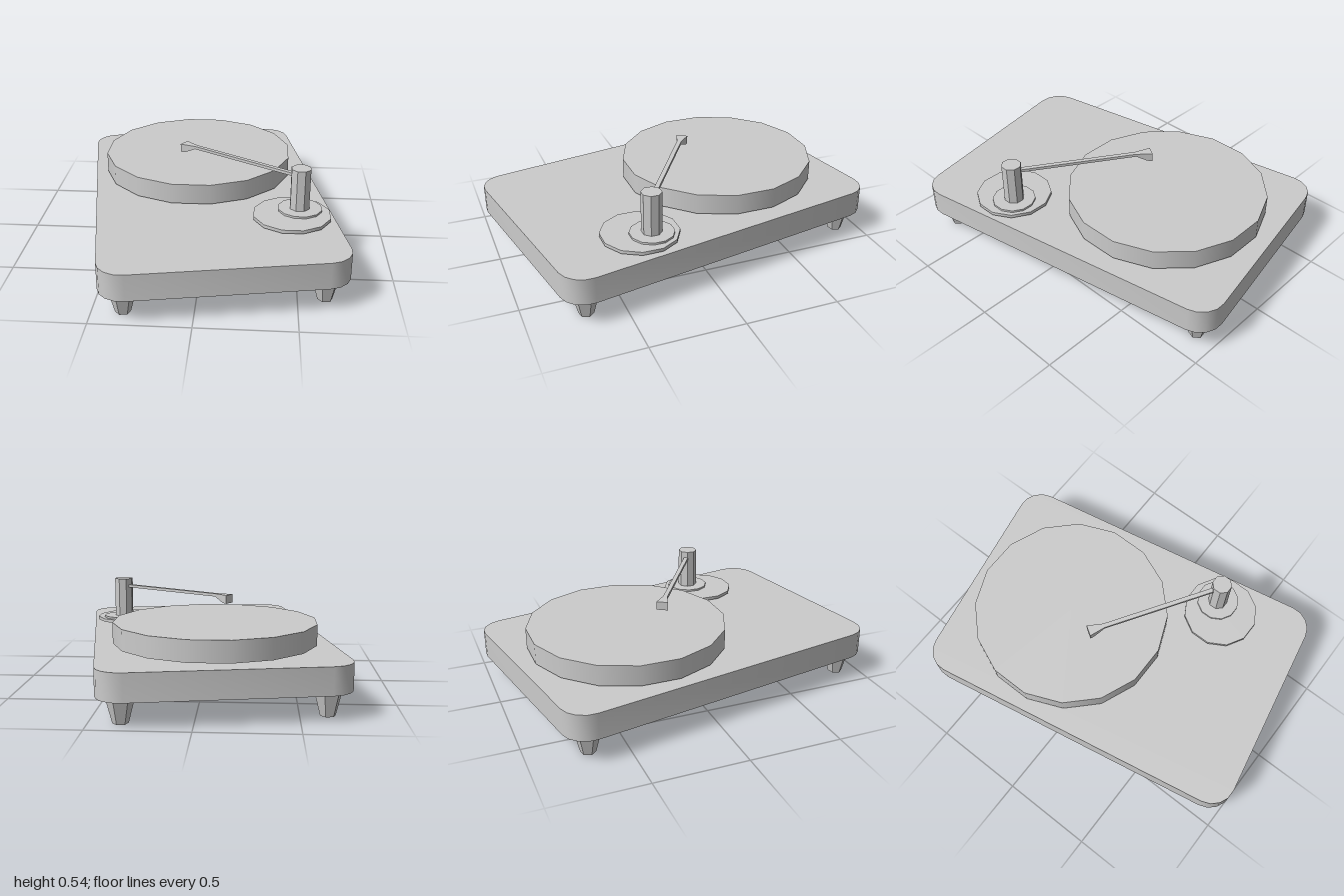
import * as THREE from 'three';
import { toCreasedNormals } from 'three/addons/utils/BufferGeometryUtils.js';

const smooth = new THREE.MeshStandardMaterial({ color: 0xcccccc, side: THREE.DoubleSide });
const faceted = new THREE.MeshStandardMaterial({ color: 0xcccccc, side: THREE.DoubleSide, flatShading: true });

function addMesh(parent, name, geometry, material = smooth) {
  const mesh = new THREE.Mesh(geometry, material);
  mesh.name = name;
  parent.add(mesh);
  return mesh;
}

// Trace a rectangle with rounded corners, given half sizes
function roundedRect(path, w, d, r) {
  path.absarc(w - r, d - r, r, 0, Math.PI / 2);
  path.absarc(r - w, d - r, r, Math.PI / 2, Math.PI);
  path.absarc(r - w, r - d, r, Math.PI, Math.PI * 1.5);
  path.absarc(w - r, r - d, r, Math.PI * 1.5, Math.PI * 2);
  path.closePath();
  return path;
}

// Extrude a flat outline upwards from y0 to y1
function slab(shape, y0, y1) {
  const g = new THREE.ExtrudeGeometry(shape, { depth: y1 - y0, bevelEnabled: false, curveSegments: 2 });
  g.rotateX(-Math.PI / 2).translate(0, y0, 0);
  return toCreasedNormals(g, 1);
}

// Upright disc, turned by half a side so that flats face the axes
function disc(parent, name, x, z, radius, y0, y1, sides, material) {
  const g = new THREE.CylinderGeometry(radius, radius, y1 - y0, sides, 1, false, Math.PI / sides);
  const mesh = addMesh(parent, name, g, material);
  mesh.position.set(x, (y0 + y1) / 2, z);
}

// Bar along +x from rectangular sections: [distance, half width, bottom, top]
function bar(sections) {
  const pos = [], index = [];
  for (const [x, w, b, t] of sections) pos.push(x, b, -w, x, b, w, x, t, w, x, t, -w);
  for (let s = 0; s < sections.length - 1; s++) {
    for (let k = 0; k < 4; k++) {
      const a = s * 4 + k, b = s * 4 + (k + 1) % 4;
      index.push(a, a + 4, b, b, a + 4, b + 4);
    }
  }
  const e = (sections.length - 1) * 4;
  index.push(0, 1, 2, 0, 2, 3, e, e + 2, e + 1, e, e + 3, e + 2);
  const g = new THREE.BufferGeometry();
  g.setAttribute('position', new THREE.Float32BufferAttribute(pos, 3));
  g.setIndex(index);
  return toCreasedNormals(g, 0.3);
}

export function createModel() {
  const model = new THREE.Group();
  model.name = 'recordPlayer';

  // Plinth: a shell open underneath, turned a little
  const plinth = new THREE.Group();
  plinth.name = 'plinth';
  plinth.rotation.y = THREE.MathUtils.degToRad(10.5);
  model.add(plinth);
  const wall = roundedRect(new THREE.Shape(), 0.62, 0.927, 0.13);
  wall.holes.push(roundedRect(new THREE.Path(), 0.617, 0.924, 0.127));
  addMesh(plinth, 'plinthWalls', slab(wall, 0.13, 0.272));
  addMesh(plinth, 'plinthTop', slab(roundedRect(new THREE.Shape(), 0.62, 0.927, 0.13), 0.269, 0.272));

  // Tapered hollow feet
  const footGeometry = new THREE.CylinderGeometry(0.072, 0.039, 0.13, 6, 1, true, Math.PI / 6);
  for (const x of [-0.5, 0.5]) {
    for (const z of [-0.8, 0.8]) {
      addMesh(plinth, 'foot', footGeometry, faceted).position.set(x, 0.065, z);
    }
  }

  // Platter, just clear of the plinth
  disc(model, 'platter', -0.07, -0.297, 0.54, 0.281, 0.392, 16);

  // Tone arm mount
  disc(model, 'armBase', 0.47, 0.355, 0.206, 0.283, 0.301, 12);
  disc(model, 'armCollar', 0.513, 0.305, 0.117, 0.301, 0.312, 12);
  disc(model, 'armPost', 0.511, 0.305, 0.054, 0.3, 0.535, 8, faceted);

  // Tone arm with its widening wedge-shaped head
  const arm = addMesh(model, 'toneArm', bar([
    [0, 0.012, 0.484, 0.5],
    [0.685, 0.012, 0.484, 0.5],
    [0.745, 0.025, 0.456, 0.5],
    [0.773, 0.031, 0.454, 0.5],
  ]));
  arm.position.set(0.511, 0, 0.305);
  arm.rotation.y = Math.atan2(0.42, -0.65);

  return model;
}
